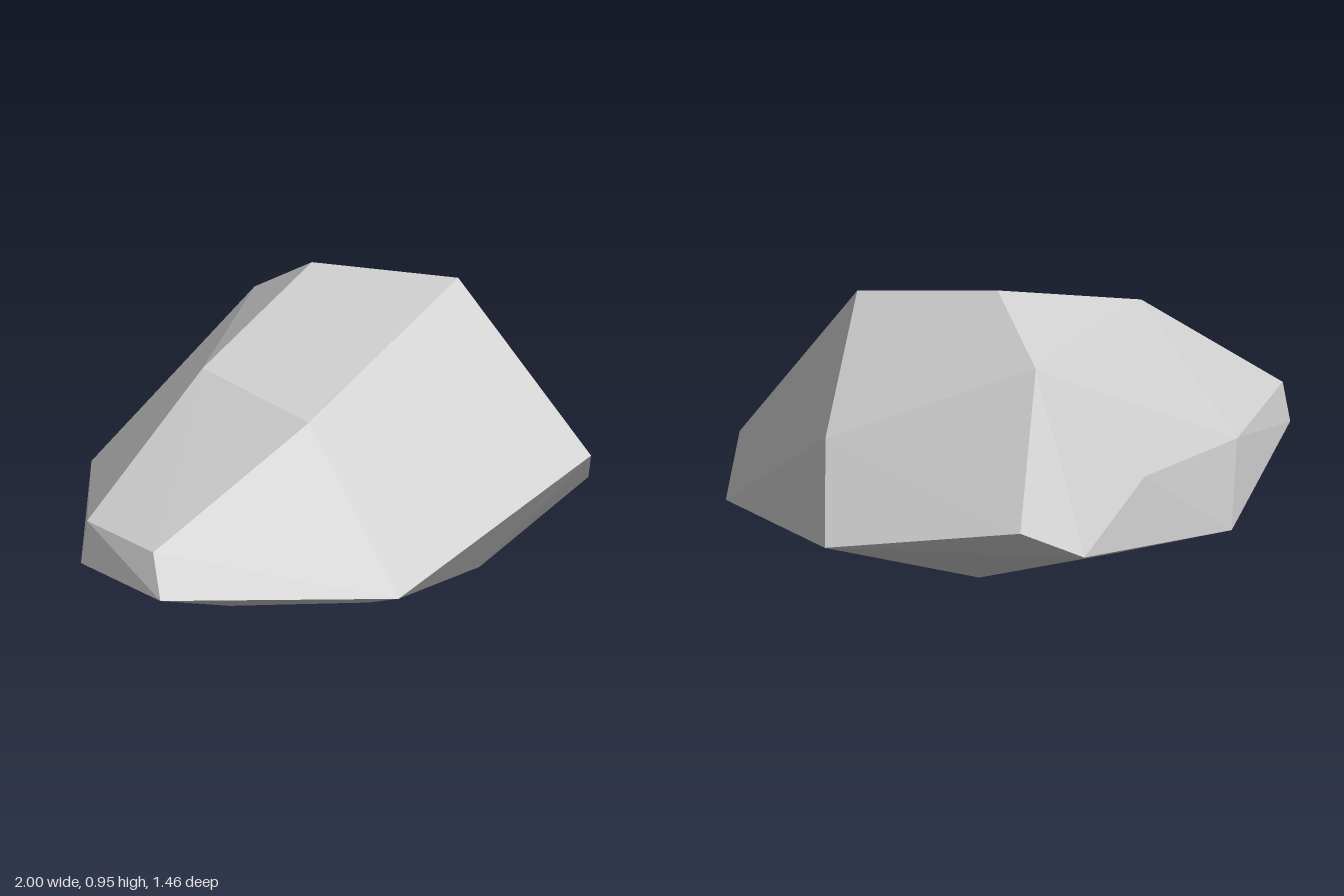
import * as THREE from 'three';
import { ConvexGeometry } from 'three/addons/geometries/ConvexGeometry.js';

// Corners of the faceted boulder, grouped from crown to base
const crown = [
  [0.25, 0.95, -0.17], [0.5, 0.915, 0.21], [0.35, 0.775, -0.48],
  [-0.4, 0.8, -0.075], [-0.39, 0.71, 0.34],
];
const shoulder = [
  [0.875, 0.565, -0.095], [0.61, 0.4, 0.65], [-0.95, 0.4, 0.175],
  [-0.96, 0.45, -0.08], [-0.46, 0.425, -0.47], [0.03, 0.41, -0.62],
];
const girdle = [
  [1, 0.263, -0.245], [0.8, 0.243, 0.485], [-0.43, 0.23, 0.73],
  [-1, 0.27, 0.245], [-0.99, 0.32, -0.08], [-0.39, 0.155, -0.53],
  [0.36, 0.225, -0.73], [0.575, 0.325, -0.68],
];
const base = [
  [-0.3, 0, -0.05], [0.47, 0.105, -0.35], [0.26, 0.095, 0.49], [-0.17, 0.075, 0.4],
];

export function createModel() {
  const group = new THREE.Group();
  group.name = 'rock';

  // Boulder: flat facets spanning the corners
  const corners = [...crown, ...shoulder, ...girdle, ...base].map((p) => new THREE.Vector3(...p));
  const boulder = new THREE.Mesh(
    new ConvexGeometry(corners),
    new THREE.MeshStandardMaterial({ color: 0xcccccc, flatShading: true }),
  );
  boulder.name = 'boulder';
  group.add(boulder);

  return group;
}
